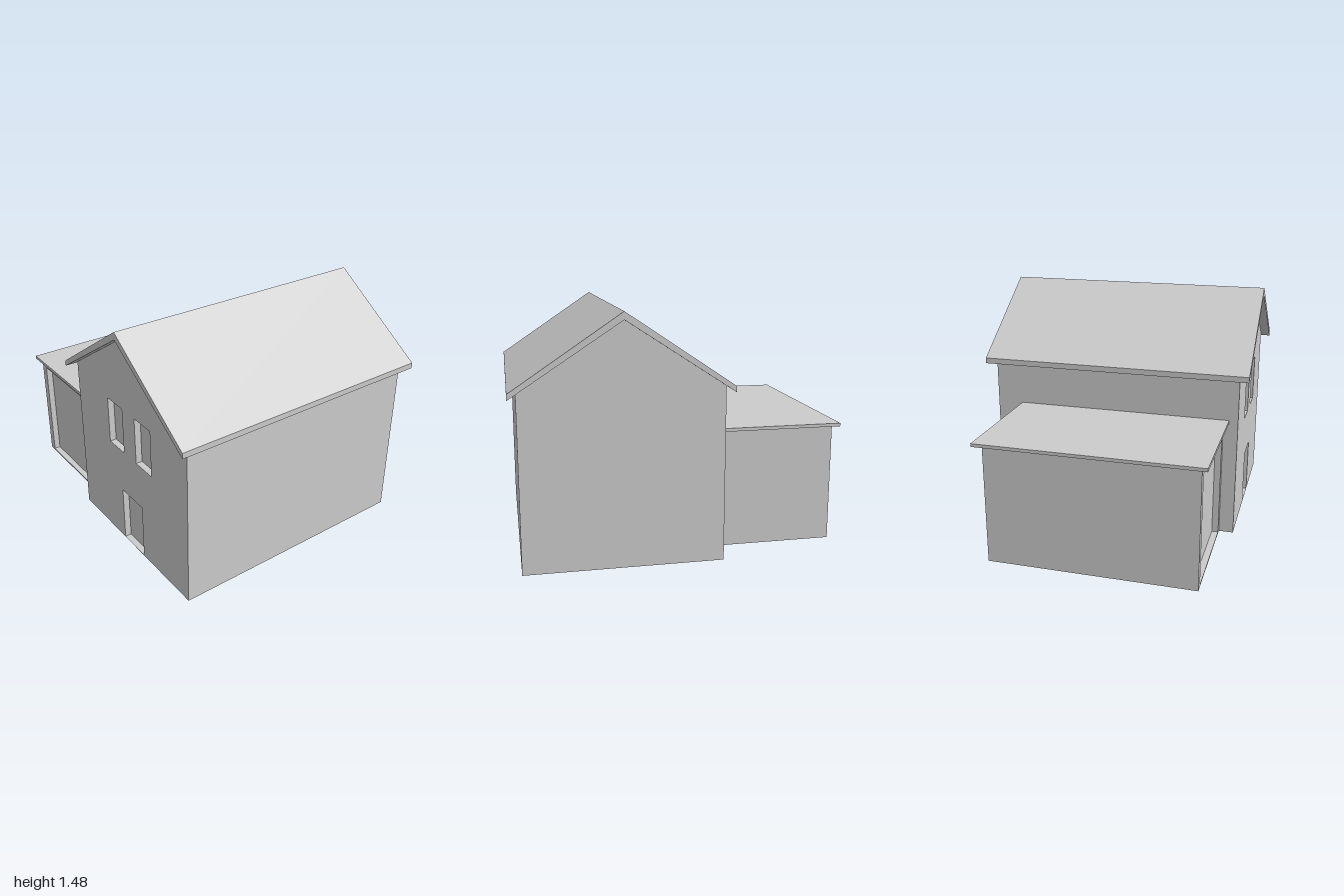
import * as THREE from 'three';

const material = new THREE.MeshStandardMaterial({ color: 0xcccccc, flatShading: true });
const RECESS = 0.04; // depth of doors and windows behind the wall face

function add(group, name, geometry) {
  const mesh = new THREE.Mesh(geometry, material);
  mesh.name = name;
  group.add(mesh);
  return mesh;
}

const toShape = (points) => new THREE.Shape(points.map(([x, y]) => new THREE.Vector2(x, y)));

// Extrudes an outline in x,y between two z positions
function slab(shape, zBack, zFront) {
  const geometry = new THREE.ExtrudeGeometry(shape, { depth: zFront - zBack, bevelEnabled: false });
  return geometry.translate(0, 0, zBack);
}

// Solid core with a front wall pierced by openings; drop slopes an opening's head inwards
function building(name, outline, zBack, zFront, openings) {
  const group = new THREE.Group();
  group.name = name;
  add(group, name + 'Core', slab(toShape(outline), zBack, zFront - RECESS));
  const face = toShape(outline);
  for (const { part, x0, x1, y0, y1, drop } of openings) {
    face.holes.push(new THREE.Path([[x0, y0], [x0, y1], [x1, y1], [x1, y0]].map((p) => new THREE.Vector2(...p))));
    if (!drop) continue;
    // Wedge profile drawn in z,y and turned to run along x
    const wedge = toShape([[-zFront, y1], [RECESS - zFront, y1 - drop], [RECESS - zFront, y1]]);
    const geometry = new THREE.ExtrudeGeometry(wedge, { depth: x1 - x0, bevelEnabled: false });
    add(group, part + 'Head', geometry.rotateY(Math.PI / 2).translate(x0, 0, 0));
  }
  add(group, name + 'FrontWall', slab(face, zFront - RECESS, zFront));
  return group;
}

export function createModel() {
  const model = new THREE.Group();
  model.name = 'houseWithGarage';
  const ridge = 0.365;

  // Gabled house
  const houseOutline = [[-0.225, 0], [0.952, 0], [0.952, 1.05], [ridge, 1.435], [-0.225, 1.05]];
  model.add(building('house', houseOutline, -0.79, 0.79, [
    { part: 'frontDoor', x0: 0.255, x1: 0.475, y0: 0.002, y1: 0.363, drop: 0.025 },
    { part: 'rightWindow', x0: 0.135, x1: 0.297, y0: 0.655, y1: 0.955, drop: 0 },
    { part: 'leftWindow', x0: 0.432, x1: 0.595, y0: 0.655, y1: 0.955, drop: 0 },
  ]));

  // Pitched roof with plumb-cut eaves
  const roof = toShape([[-0.268, 1.018], [ridge, 1.434], [1, 1.018], [1, 1.053], [ridge, 1.48], [-0.268, 1.053]]);
  add(model, 'houseRoof', slab(roof, -0.85, 0.85));

  // Garage
  const garageOutline = [[-0.97, 0], [-0.225, 0], [-0.225, 0.727], [-0.97, 0.727]];
  model.add(building('garage', garageOutline, -0.57, 0.70, [
    { part: 'garageDoor', x0: -0.918, x1: -0.262, y0: 0.01, y1: 0.686, drop: 0.042 },
  ]));

  // Flat garage roof, with a soffit tapering in to the walls
  const [x0, x1, z0, z1] = [-1, -0.225, -0.625, 0.735];
  add(model, 'garageRoof', new THREE.BoxGeometry(x1 - x0, 0.02, z1 - z0)
    .translate((x0 + x1) / 2, 0.747, (z0 + z1) / 2));
  const soffit = new THREE.BoxGeometry(x1 - x0, 0.01, z1 - z0).translate((x0 + x1) / 2, 0.732, (z0 + z1) / 2);
  const p = soffit.attributes.position;
  for (let i = 0; i < p.count; i++) {
    if (p.getY(i) > 0.732) continue;
    p.setX(i, p.getX(i) < -0.6 ? -0.97 : x1);
    p.setZ(i, p.getZ(i) < 0 ? -0.57 : 0.70);
  }
  soffit.computeVertexNormals();
  add(model, 'garageSoffit', soffit);

  return model;
}
